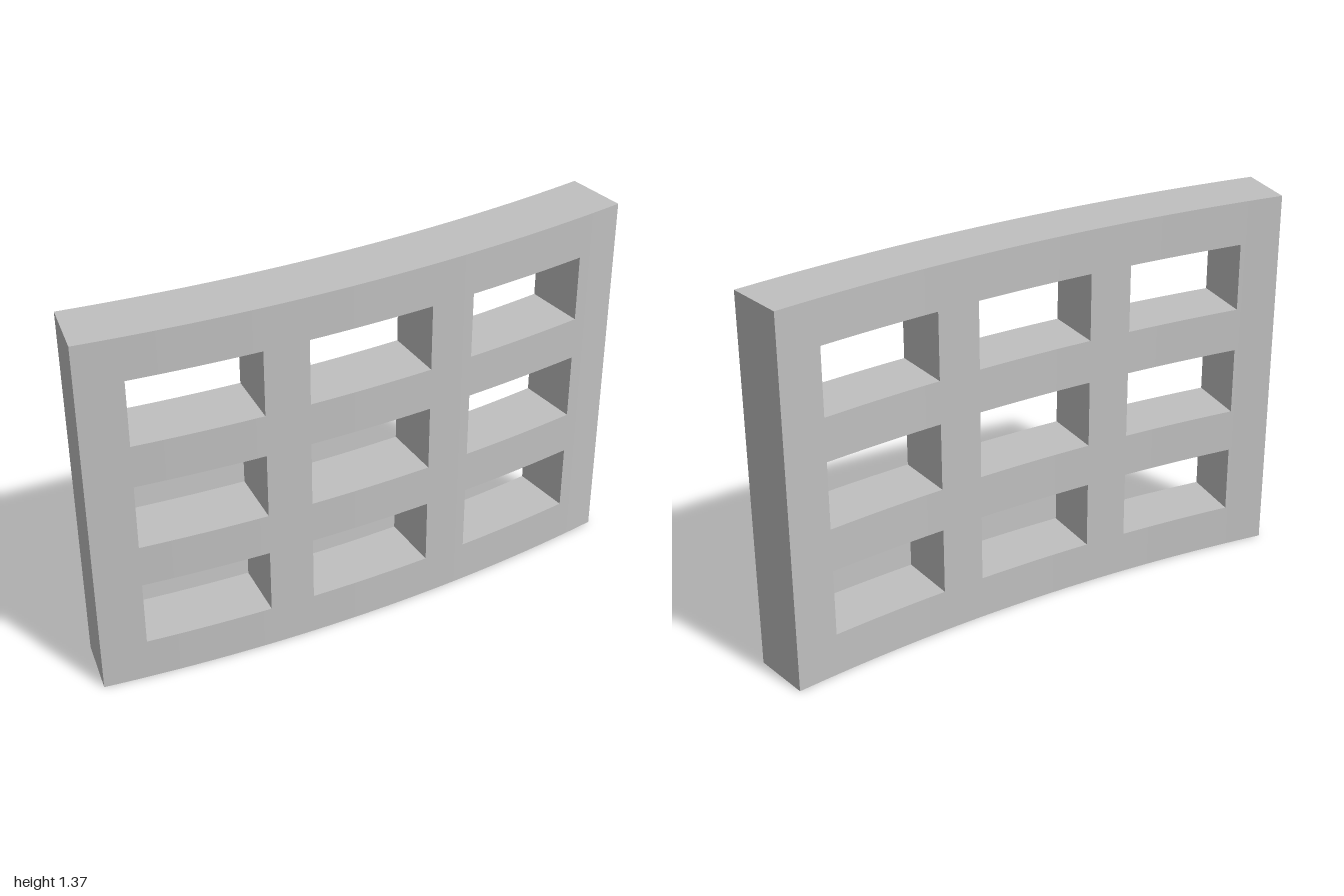
import * as THREE from 'three';

const R_OUT = 6.53, R_IN = 6.31, Z_CENTRE = 0.147 - R_OUT; // curved slab seen from above
const HALF_ANGLE = Math.asin(1 / R_OUT), HEIGHT = 1.37;
const COLS = 3, ROWS = 3, STEPS = 6;

// Edges alternating solid bar, opening, solid bar ...
function edges(start, bar, opening, count) {
  const out = [start];
  for (let i = 0; i < count * 2 + 1; i++) out.push(out[i] + (i % 2 ? opening : bar));
  return out;
}

function curvedLattice() {
  const bar = 0.0247, opening = (2 * HALF_ANGLE - 4 * bar) / 3;
  const angles = edges(-HALF_ANGLE, bar, opening, COLS);
  const rail = 0.158, gap = (HEIGHT - 4 * rail) / 3;
  const ys = edges(0, rail, gap, ROWS);
  const nc = angles.length - 1, nr = ys.length - 1;
  const solid = (c, r) => c >= 0 && r >= 0 && c < nc && r < nr && !(c % 2 && r % 2);

  const position = [], normal = [], index = [];
  // Corner = [angle, radius, y]; normalAt gives the normal for a corner angle
  const quad = (corners, normalAt) => {
    const n = position.length / 3;
    for (const [a, r, y] of corners) {
      position.push(r * Math.sin(a), y, Z_CENTRE + r * Math.cos(a));
      normal.push(...normalAt(a));
    }
    index.push(n, n + 1, n + 2, n, n + 2, n + 3);
  };
  const outward = a => [Math.sin(a), 0, Math.cos(a)];
  const inward = a => [-Math.sin(a), 0, -Math.cos(a)];
  const toLeft = a => [Math.cos(a), 0, -Math.sin(a)];
  const toRight = a => [-Math.cos(a), 0, Math.sin(a)];

  for (let c = 0; c < nc; c++) for (let r = 0; r < nr; r++) {
    if (!solid(c, r)) continue;
    const y0 = ys[r], y1 = ys[r + 1], aMin = angles[c], aMax = angles[c + 1];
    for (let s = 0; s < STEPS; s++) {
      const a0 = aMin + (aMax - aMin) * s / STEPS, a1 = aMin + (aMax - aMin) * (s + 1) / STEPS;
      // Front and back skins
      quad([[a0, R_OUT, y0], [a1, R_OUT, y0], [a1, R_OUT, y1], [a0, R_OUT, y1]], outward);
      quad([[a1, R_IN, y0], [a0, R_IN, y0], [a0, R_IN, y1], [a1, R_IN, y1]], inward);
      // Upper and lower faces of rails
      if (!solid(c, r + 1)) quad([[a0, R_OUT, y1], [a1, R_OUT, y1], [a1, R_IN, y1], [a0, R_IN, y1]], () => [0, 1, 0]);
      if (!solid(c, r - 1)) quad([[a0, R_IN, y0], [a1, R_IN, y0], [a1, R_OUT, y0], [a0, R_OUT, y0]], () => [0, -1, 0]);
    }
    // Radial side walls of posts
    if (!solid(c + 1, r)) quad([[aMax, R_OUT, y0], [aMax, R_IN, y0], [aMax, R_IN, y1], [aMax, R_OUT, y1]], toLeft);
    if (!solid(c - 1, r)) quad([[aMin, R_IN, y0], [aMin, R_OUT, y0], [aMin, R_OUT, y1], [aMin, R_IN, y1]], toRight);
  }

  const geometry = new THREE.BufferGeometry();
  geometry.setAttribute('position', new THREE.Float32BufferAttribute(position, 3));
  geometry.setAttribute('normal', new THREE.Float32BufferAttribute(normal, 3));
  geometry.setIndex(index);
  return geometry;
}

export function createModel() {
  const group = new THREE.Group();
  group.name = 'curvedLatticePanel';
  const grey = new THREE.MeshStandardMaterial({ color: 0xc0c0c0 });
  grey.name = 'light grey';
  const panel = new THREE.Mesh(curvedLattice(), grey);
  panel.name = 'latticePanel';
  group.add(panel);
  return group;
}
